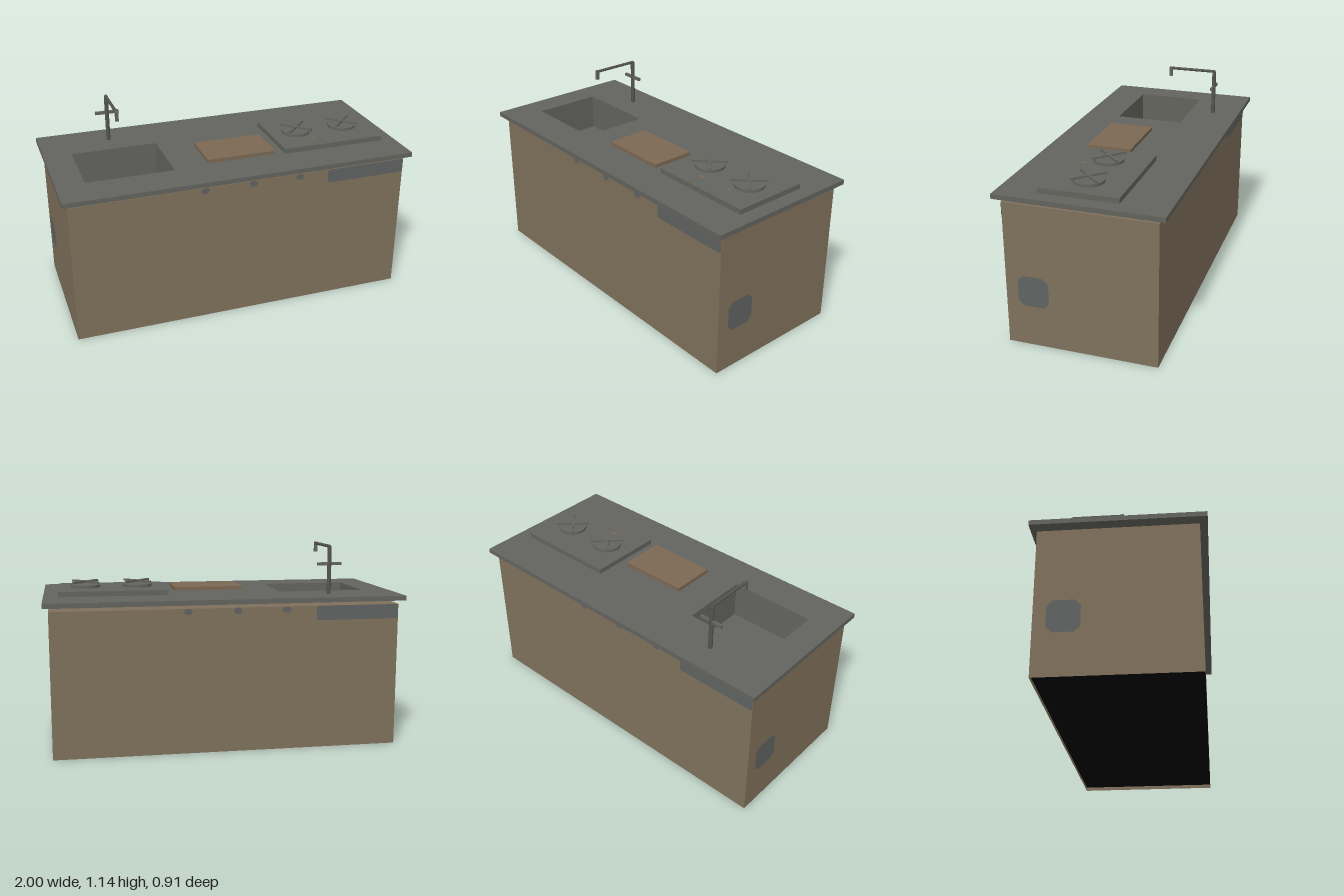
import * as THREE from 'three';

const mat = (name, color, side = THREE.FrontSide) => {
  const m = new THREE.MeshStandardMaterial({ color, side });
  m.name = name;
  return m;
};

export function createModel() {
  const root = new THREE.Group();
  root.name = 'kitchenIsland';
  const wood = mat('brown wood', 0x7f705b, THREE.DoubleSide);
  const board = mat('board wood', 0x7b6853);
  const stone = mat('grey stone', 0x63645e, THREE.DoubleSide);
  const metal = mat('dark metal', 0x555550);
  const patchGrey = mat('worn grey', 0x5f6361, THREE.DoubleSide);
  const black = mat('black base', 0x050505);

  const add = (name, geo, material, x = 0, y = 0, z = 0, parent = root) => {
    const m = new THREE.Mesh(geo, material);
    m.name = name;
    m.position.set(x, y, z);
    parent.add(m);
    return m;
  };
  // box given by its limits on each axis
  const block = (name, material, x0, x1, y0, y1, z0, z1) =>
    add(name, new THREE.BoxGeometry(x1 - x0, y1 - y0, z1 - z0), material,
      (x0 + x1) / 2, (y0 + y1) / 2, (z0 + z1) / 2);

  // four thin upright walls around a rectangle [x0, x1, z0, z1]
  const walls = (name, material, [x0, x1, z0, z1], y0, y1) => {
    const w = x1 - x0, d = z1 - z0;
    const group = new THREE.Group();
    group.name = name;
    group.position.set((x0 + x1) / 2, (y0 + y1) / 2, (z0 + z1) / 2);
    root.add(group);
    for (let i = 0; i < 4; i++) {
      const [width, out] = i % 2 ? [d, w / 2] : [w, d / 2];
      const geo = new THREE.PlaneGeometry(width, y1 - y0).translate(0, 0, out);
      add('wall', geo.rotateY(i * Math.PI / 2), material, 0, 0, 0, group);
    }
  };
  // rectangle with a rectangular opening, drawn with y = -z
  const corners = ([x0, x1, z0, z1]) =>
    [[x0, -z1], [x1, -z1], [x1, -z0], [x0, -z0]].map(([a, b]) => new THREE.Vector2(a, b));
  const frame = (outer, hole) => {
    const s = new THREE.Shape(corners(outer));
    s.holes.push(new THREE.Path(corners(hole).reverse()));
    return s;
  };

  // hollow cabinet with a recessed base, and the worktop
  const opening = [-0.842, -0.348, -0.15, 0.246];
  const cabinet = [-0.97, 0.97, -0.415, 0.415];
  walls('cabinetWalls', wood, cabinet, 0, 0.812);
  add('cabinetTop', new THREE.ShapeGeometry(frame(cabinet, opening)).rotateX(-Math.PI / 2), wood, 0, 0.812, 0);
  add('cabinetBase', new THREE.PlaneGeometry(1.94, 0.83).rotateX(Math.PI / 2), black, 0, 0.022, 0);
  const slab = new THREE.ExtrudeGeometry(frame([-1, 1, -0.455, 0.455], opening), { depth: 0.027, bevelEnabled: false });
  add('worktop', slab.rotateX(-Math.PI / 2), stone, 0, 0.835, 0);

  // sunken sink
  walls('sinkWalls', stone, opening, 0.65, 0.835);
  add('sinkFloor', new THREE.PlaneGeometry(0.494, 0.396).rotateX(-Math.PI / 2), stone, -0.595, 0.65, 0.048);

  // hob with two burners and crossed pan supports
  block('hobBody', stone, 0.34, 0.89, 0.812, 0.835, -0.147, 0.262);
  block('hob', stone, 0.307, 0.917, 0.862, 0.891, -0.197, 0.239);
  for (const x of [0.464, 0.762]) {
    const burner = new THREE.Group();
    burner.name = 'burner';
    burner.position.set(x, 0, 0.02);
    root.add(burner);
    add('burnerDisc', new THREE.CylinderGeometry(0.083, 0.083, 0.016, 16), stone, 0, 0.899, 0, burner);
    for (const a of [1, -1]) {
      const bar = add('panSupport', new THREE.BoxGeometry(0.2, 0.012, 0.014), stone, 0, 0.923, 0, burner);
      bar.rotation.y = a * Math.PI / 4;
    }
  }

  block('choppingBoard', board, -0.15, 0.25, 0.864, 0.885, -0.03, 0.226);

  // tap: post, arm, spout and cross handle
  const tap = new THREE.Group();
  tap.name = 'tap';
  tap.position.set(-0.597, 0, -0.296);
  root.add(tap);
  add('tapPost', new THREE.CylinderGeometry(0.012, 0.012, 0.268, 8), metal, 0, 0.996, 0, tap);
  const arm = add('tapArm', new THREE.CylinderGeometry(0.009, 0.009, 0.285, 8), metal, 0, 1.131, 0.138, tap);
  arm.rotation.x = Math.PI / 2;
  add('tapSpout', new THREE.BoxGeometry(0.018, 0.057, 0.018), stone, 0, 1.11, 0.277, tap);
  add('tapHandle', new THREE.BoxGeometry(0.138, 0.016, 0.016), stone, 0, 1.033, 0, tap);

  // flat worn patch with cut corners
  const patch = (w, h, c) => {
    const a = w / 2, b = h / 2;
    return new THREE.ShapeGeometry(new THREE.Shape([
      [-a + c, -b], [a - c, -b], [a, -b + c], [a, b - c],
      [a - c, b], [-a + c, b], [-a, b - c], [-a, -b + c],
    ].map((p) => new THREE.Vector2(...p))));
  };
  // the same patches on front and left end, then on back and right end
  for (const turn of [0, Math.PI]) {
    const side = new THREE.Group();
    side.name = 'wornPatches';
    side.rotation.y = turn;
    root.add(side);
    add('cornerPatch', patch(0.474, 0.08, 0.01), patchGrey, 0.732, 0.771, 0.417, side);
    for (const x of [-0.225, 0.05, 0.325])
      add('smallPatch', patch(0.046, 0.034, 0.012), patchGrey, x, 0.795, 0.417, side);
    const end = add('endPatch', patch(0.17, 0.174, 0.03), patchGrey, 0.972, 0.32, 0.262, side);
    end.rotation.y = Math.PI / 2;
  }
  // small brown marks on the hob
  for (const [x, z, r] of [[0.528, 0.14, 0.015], [0.725, 0.13, 0.008]])
    add('hobMark', new THREE.CircleGeometry(r, 8).rotateX(-Math.PI / 2), board, x, 0.892, z);

  return root;
}
